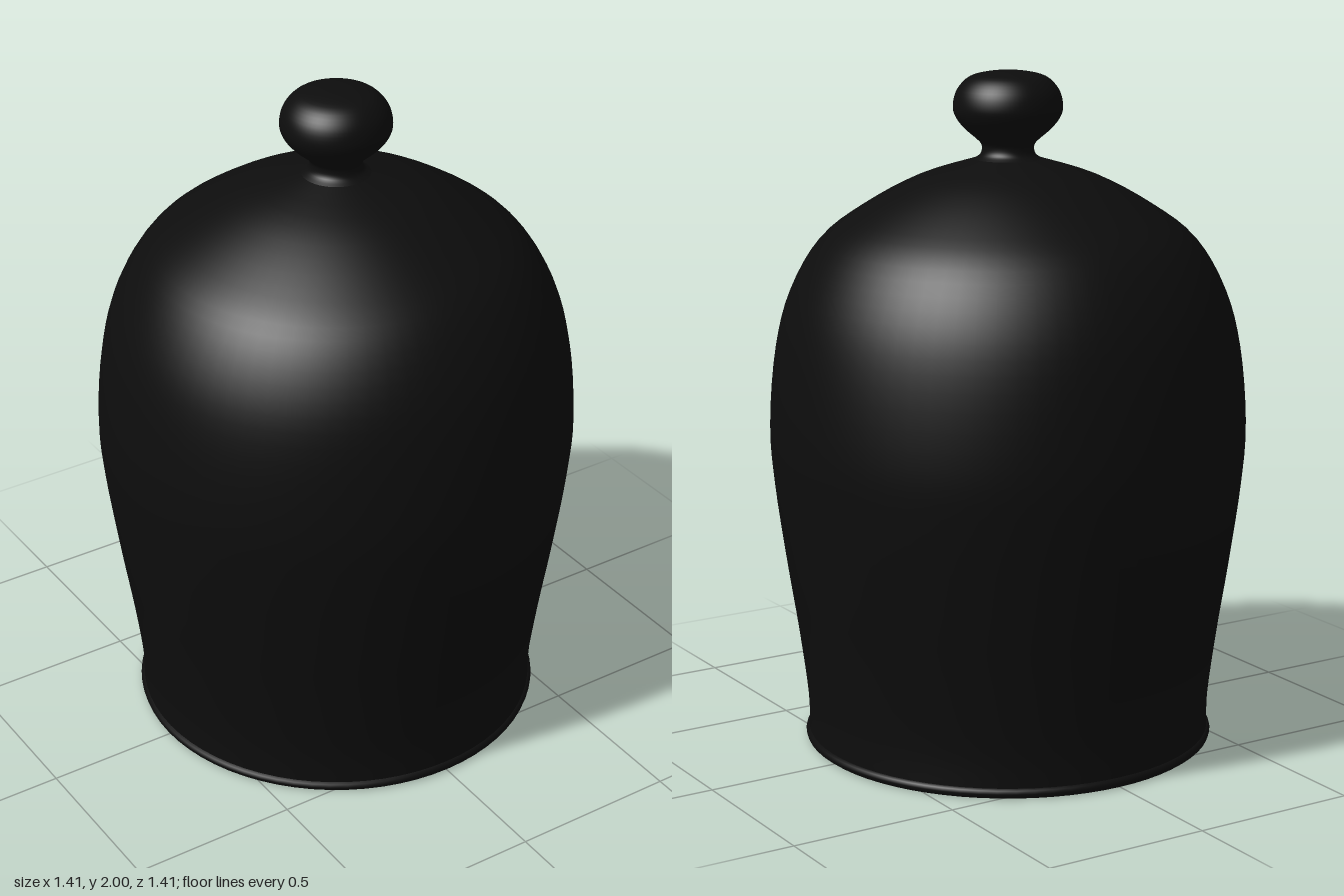
import * as THREE from 'three';

const SEGMENTS = 72;
const toPoints = (list) => list.map(([x, y]) => new THREE.Vector2(x, y));

// Smooth lathe through a few [radius, height] points
function turned(name, list, material, samples) {
  const points = new THREE.SplineCurve(toPoints(list)).getPoints(samples);
  points.forEach((p) => { p.x = Math.max(p.x, 0); });
  const mesh = new THREE.Mesh(new THREE.LatheGeometry(points, SEGMENTS), material);
  mesh.name = name;
  return mesh;
}

export function createModel() {
  const group = new THREE.Group();
  group.name = 'bellJar';
  const glass = new THREE.MeshStandardMaterial({ color: 0x0d0d0d, side: THREE.DoubleSide });

  // Bell wall, from just above the rim to the foot of the neck
  const wall = [
    [0.603, 0.03], [0.605, 0.14], [0.63, 0.34], [0.662, 0.55], [0.694, 0.79],
    [0.705, 0.97], [0.685, 1.19], [0.64, 1.36], [0.555, 1.505], [0.435, 1.6],
    [0.27, 1.69], [0.1, 1.745],
  ];
  group.add(turned('bellWall', wall, glass, 44));

  // Hollow inside, a thin wall's thickness within the bell
  const inner = wall.slice(0, -1).map(([x, y]) => [x - 0.018, y - (y > 1.3 ? 0.018 : 0)]);
  inner.push([0.1, 1.718], [0, 1.725]);
  group.add(turned('innerWall', inner.reverse(), glass, 44));

  // Rounded lip at the open foot
  const lip = new THREE.Mesh(new THREE.TorusGeometry(0.597, 0.016, 10, SEGMENTS), glass);
  lip.name = 'rimLip';
  lip.rotation.x = Math.PI / 2;
  lip.position.y = 0.016;
  group.add(lip);

  // Neck and flattened ball knob
  const knob = [
    [0.1, 1.745], [0.082, 1.757], [0.076, 1.775], [0.083, 1.795], [0.125, 1.832],
    [0.152, 1.866], [0.16, 1.9], [0.148, 1.945], [0.112, 1.982], [0.055, 1.997], [0, 2],
  ];
  group.add(turned('knob', knob, glass, 40));

  return group;
}
